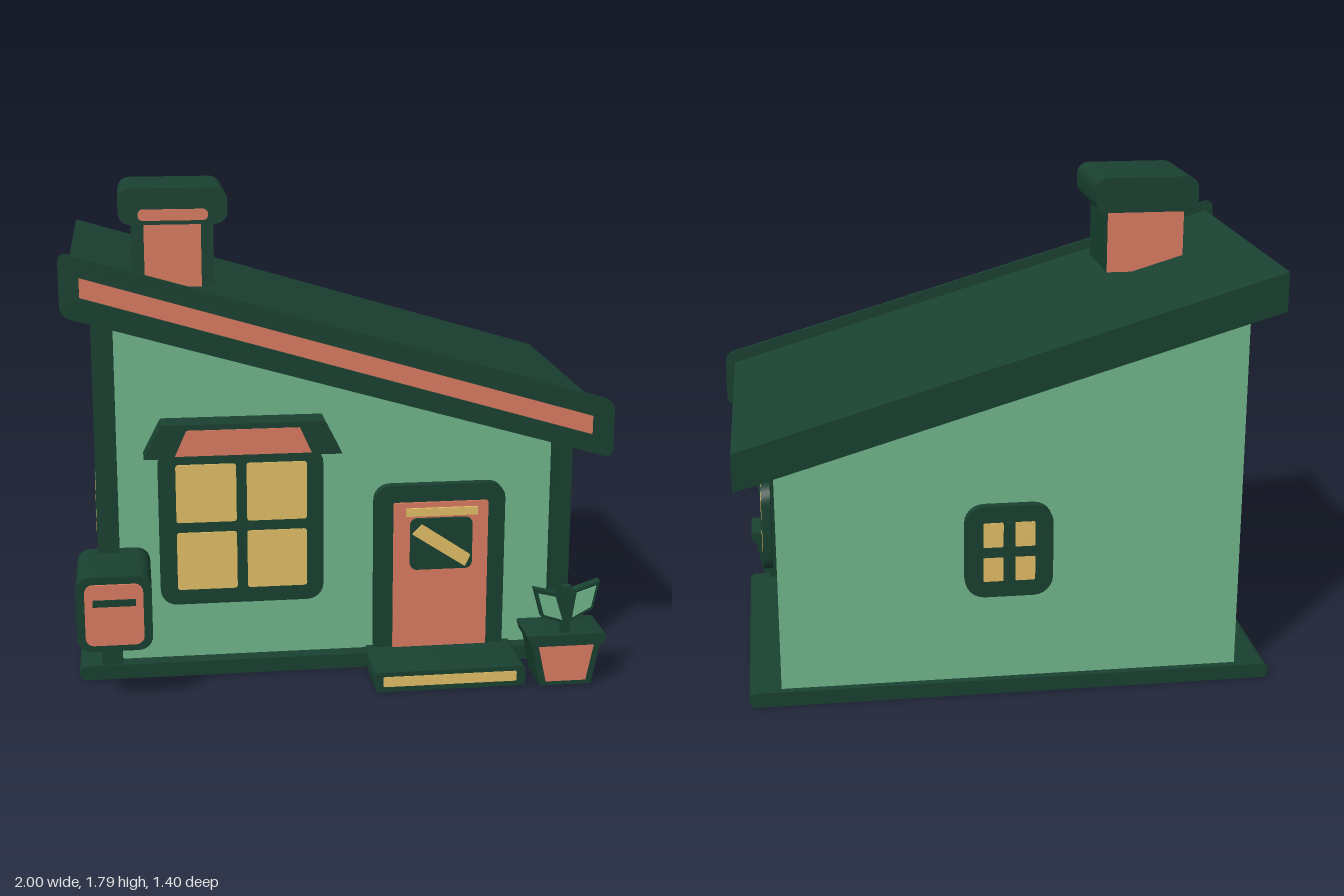
import * as THREE from 'three';
import { toCreasedNormals } from 'three/addons/utils/BufferGeometryUtils.js';

const mat = (name, color) => Object.assign(new THREE.MeshStandardMaterial({ color }), { name });

export function createModel() {
  const dark = mat('dark green', 0x194131);
  const light = mat('light green', 0x72b78b);
  const clay = mat('terracotta', 0xdc7d62);
  const gold = mat('gold', 0xe4bf66);
  const house = new THREE.Group();
  house.name = 'house';

  // polygon whose corners are rounded by r
  function polygon(pts, r = 0) {
    const s = new THREE.Shape();
    const v = pts.map(p => new THREE.Vector2(p[0], p[1]));
    v.forEach((p, i) => {
      const a = v[(i + v.length - 1) % v.length], b = v[(i + 1) % v.length];
      const p0 = p.clone().add(a.clone().sub(p).setLength(r));
      const p1 = p.clone().add(b.clone().sub(p).setLength(r));
      if (i === 0) s.moveTo(p0.x, p0.y); else s.lineTo(p0.x, p0.y);
      if (r > 0) s.bezierCurveTo(
        p0.x + (p.x - p0.x) * 0.55, p0.y + (p.y - p0.y) * 0.55,
        p1.x + (p.x - p1.x) * 0.55, p1.y + (p.y - p1.y) * 0.55, p1.x, p1.y);
    });
    s.closePath();
    return s;
  }

  // outline in the xy plane, extruded from z0 to z1
  function slab(name, pts, z0, z1, material, r = 0, parent = house, hole = null) {
    const shape = polygon(pts, r);
    if (hole) shape.holes.push(polygon(hole));
    let g = new THREE.ExtrudeGeometry(shape, { depth: z1 - z0, bevelEnabled: false, curveSegments: 6 });
    g.translate(0, 0, z0);
    g = toCreasedNormals(g, 0.6);
    const m = new THREE.Mesh(g, material);
    m.name = name;
    parent.add(m);
  }
  const rect = (x0, x1, y0, y1) => [[x0, y0], [x1, y0], [x1, y1], [x0, y1]];
  const trapezoid = (x0, x1, y0, x2, x3, y1) => [[x0, y0], [x1, y0], [x3, y1], [x2, y1]];
  const eaves = x => 0.84 + 0.2987 * (0.96 - x);

  // base, walls and corner posts
  slab('base', rect(-0.98, 0.937, 0, 0.055), -0.662, 0.43, dark, 0.025);
  slab('walls', [[-0.856, 0.02], [0.82, 0.02], [0.82, eaves(0.82) + 0.04], [-0.856, eaves(-0.856) + 0.04]],
    -0.634, 0.372, light);
  for (const [x0, x1] of [[-0.897, -0.82], [0.782, 0.855]]) {
    slab('cornerPost', [[x0, 0.04], [x1, 0.04], [x1, eaves(x1) + 0.03], [x0, eaves(x0) + 0.03]], 0.388, 0.425, dark);
  }

  // sloping roof with framed front trim
  slab('roof', [[-0.965, 1.415], [0.96, 0.84], [0.96, 0.98], [-0.965, 1.555]], -0.703, 0.435, dark);
  const stripe = [[-0.93, 1.435], [0.92, 0.885], [0.92, 0.957], [-0.93, 1.507]];
  slab('roofStripe', stripe, 0.43, 0.452, clay);
  slab('roofTrim', [[-1, 1.372], [0.997, 0.795], [0.997, 1.012], [-1, 1.598]], 0.448, 0.464, dark, 0.035, house, stripe);

  // chimney
  slab('chimney', rect(-0.745, -0.45, 1.43, 1.68), -0.085, 0.235, dark);
  slab('chimneyFrontPanel', rect(-0.7, -0.495, 1.43, 1.67), 0.234, 0.241, clay);
  slab('chimneyBackPanel', rect(-0.742, -0.453, 1.43, 1.67), -0.091, -0.084, clay);
  slab('chimneyCap', rect(-0.79, -0.4, 1.66, 1.79), -0.115, 0.27, dark, 0.045);
  slab('chimneyCapStripe', rect(-0.72, -0.47, 1.675, 1.715), 0.269, 0.276, clay, 0.018);

  // front window with four panes
  slab('windowFrame', rect(-0.675, -0.075, 0.28, 0.865), 0.388, 0.425, dark, 0.06);
  for (const [x0, x1] of [[-0.612, -0.393], [-0.355, -0.136]]) {
    for (const [y0, y1] of [[0.338, 0.556], [0.595, 0.813]]) {
      slab('windowPane', rect(x0, x1, y0, y1), 0.423, 0.43, gold, 0.01);
    }
  }
  slab('awning', trapezoid(-0.725, -0.02, 0.868, -0.662, -0.082, 0.99), 0.43, 0.538, dark);
  slab('awningPanel', trapezoid(-0.615, -0.13, 0.877, -0.573, -0.172, 0.97), 0.537, 0.542, clay);

  // small windows mounted just off both sides and the back
  function smallWindow(name, x, y, z, angle) {
    const w = new THREE.Group();
    w.name = name;
    slab('frame', rect(-0.158, 0.158, -0.172, 0.172), 0.016, 0.05, dark, 0.07, w);
    for (const sx of [-1, 1]) for (const sy of [-1, 1]) {
      const px = sx * 0.057, py = sy * 0.065;
      slab('pane', rect(px - 0.036, px + 0.036, py - 0.046, py + 0.046), 0.048, 0.053, gold, 0.006, w);
    }
    slab('uprightBar', rect(-0.021, 0.021, -0.111, 0.111), 0.049, 0.055, dark, 0, w);
    slab('crossBar', rect(-0.093, 0.093, -0.019, 0.019), 0.049, 0.055, dark, 0, w);
    w.position.set(x, y, z);
    w.rotation.y = angle;
    house.add(w);
  }
  smallWindow('leftWindow', 0.82, 0.53, -0.132, Math.PI / 2);
  smallWindow('rightWindow', -0.858, 0.53, -0.132, -Math.PI / 2);
  smallWindow('backWindow', 0, 0.567, -0.636, Math.PI);

  // front door and step
  slab('doorFrame', rect(0.115, 0.605, 0.03, 0.705), 0.388, 0.425, dark, 0.06);
  slab('doorPanel', rect(0.185, 0.54, 0.07, 0.64), 0.424, 0.433, clay, 0.008);
  slab('doorWindow', rect(0.243, 0.475, 0.39, 0.587), 0.452, 0.464, dark, 0.025);
  slab('doorWindowGlint', [[0.25, 0.53], [0.447, 0.4], [0.467, 0.444], [0.285, 0.567]], 0.463, 0.472, gold);
  slab('doorBar', rect(0.225, 0.492, 0.6, 0.63), 0.465, 0.474, gold);
  slab('doorStep', rect(0.085, 0.64, 0, 0.075), 0.4, 0.667, dark, 0.012);
  slab('doorStepTrim', rect(0.115, 0.607, 0.02, 0.058), 0.666, 0.67, gold, 0.006);

  // letter box
  slab('letterBox', rect(-0.975, -0.71, 0.213, 0.49), 0.37, 0.678, dark, 0.05);
  slab('letterBoxPanel', rect(-0.945, -0.74, 0.238, 0.462), 0.677, 0.686, clay, 0.03);
  slab('letterSlot', rect(-0.917, -0.766, 0.383, 0.408), 0.685, 0.69, dark);

  // flower pot and plant
  slab('pot', trapezoid(0.687, 0.88, 0.005, 0.655, 0.91, 0.165), 0.53, 0.69, dark);
  slab('potPanel', trapezoid(0.71, 0.858, 0.022, 0.68, 0.885, 0.16), 0.689, 0.696, clay);
  slab('potRim', trapezoid(0.648, 0.92, 0.16, 0.636, 0.93, 0.202), 0.517, 0.7, dark, 0.01);
  slab('stem', rect(0.767, 0.8, 0.19, 0.378), 0.645, 0.675, dark);
  const leaves = [
    [[0.69, 0.267], [0.782, 0.237], [0.746, 0.355], [0.66, 0.376]],
    [[0.79, 0.243], [0.88, 0.292], [0.902, 0.398], [0.808, 0.366]],
  ];
  for (const leaf of leaves) {
    const cx = leaf.reduce((t, p) => t + p[0], 0) / 4, cy = leaf.reduce((t, p) => t + p[1], 0) / 4;
    const inner = leaf.map(([x, y]) => [cx + (x - cx) * 0.75, cy + (y - cy) * 0.75]);
    slab('leaf', leaf, 0.645, 0.68, dark);
    slab('leafFace', inner, 0.679, 0.685, light);
  }
  return house;
}
